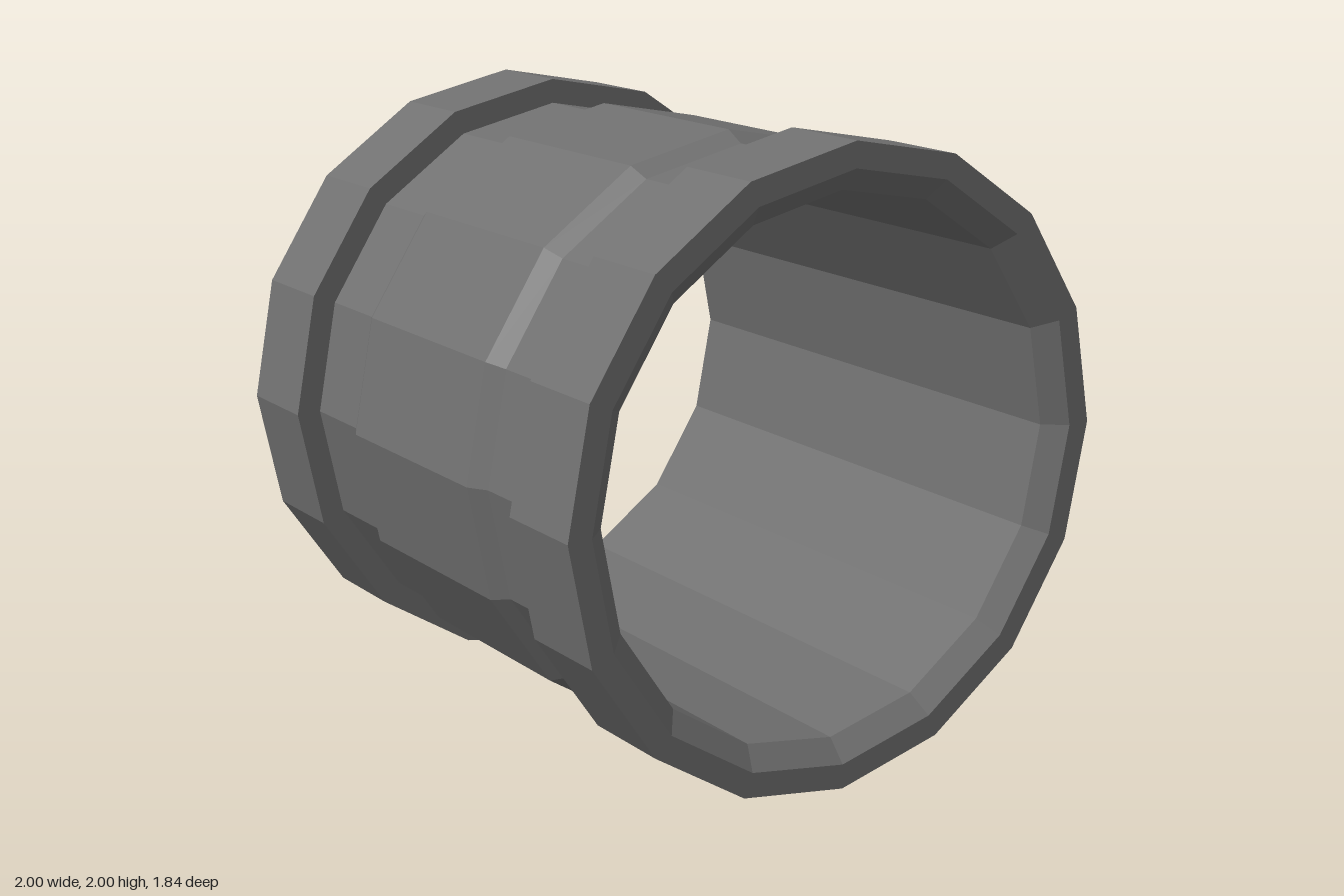
import * as THREE from 'three';

const SIDES = 16;

// Faceted ring turned around the z axis; profile is [radius, z] pairs,
// outer surfaces run towards +z and inner surfaces towards -z.
function turned(name, profile, material) {
  const points = profile.map(([r, z]) => new THREE.Vector2(r, z));
  const geometry = new THREE.LatheGeometry(points, SIDES).toNonIndexed();
  geometry.rotateX(Math.PI / 2);
  geometry.computeVertexNormals();
  const mesh = new THREE.Mesh(geometry, material);
  mesh.name = name;
  return mesh;
}

export function createModel() {
  const grey = new THREE.MeshStandardMaterial({ color: 0x707070 });
  grey.name = 'dark grey metal';

  const group = new THREE.Group();
  group.name = 'pipeCoupling';

  const end = 0.92, step = 0.63, bore = 0.85, neck = 0.92, chamfer = 0.06;

  // Pipe wall with a raised middle band
  group.add(turned('pipeBody', [
    [neck, -step], [neck, -0.39], [0.955, -0.33],
    [0.955, 0.33], [neck, 0.39], [neck, step],
  ], grey));

  // Straight inner bore
  group.add(turned('innerBore', [[bore, end - chamfer], [bore, chamfer - end]], grey));

  // End collars with a chamfered mouth
  group.add(turned('frontCollar', [
    [neck, step], [1, step], [1, end], [neck, end], [bore, end - chamfer],
  ], grey));
  group.add(turned('backCollar', [
    [bore, chamfer - end], [neck, -end], [1, -end], [1, -step], [neck, -step],
  ], grey));

  group.position.y = 1;
  const model = new THREE.Group();
  model.name = 'model';
  model.add(group);
  return model;
}
